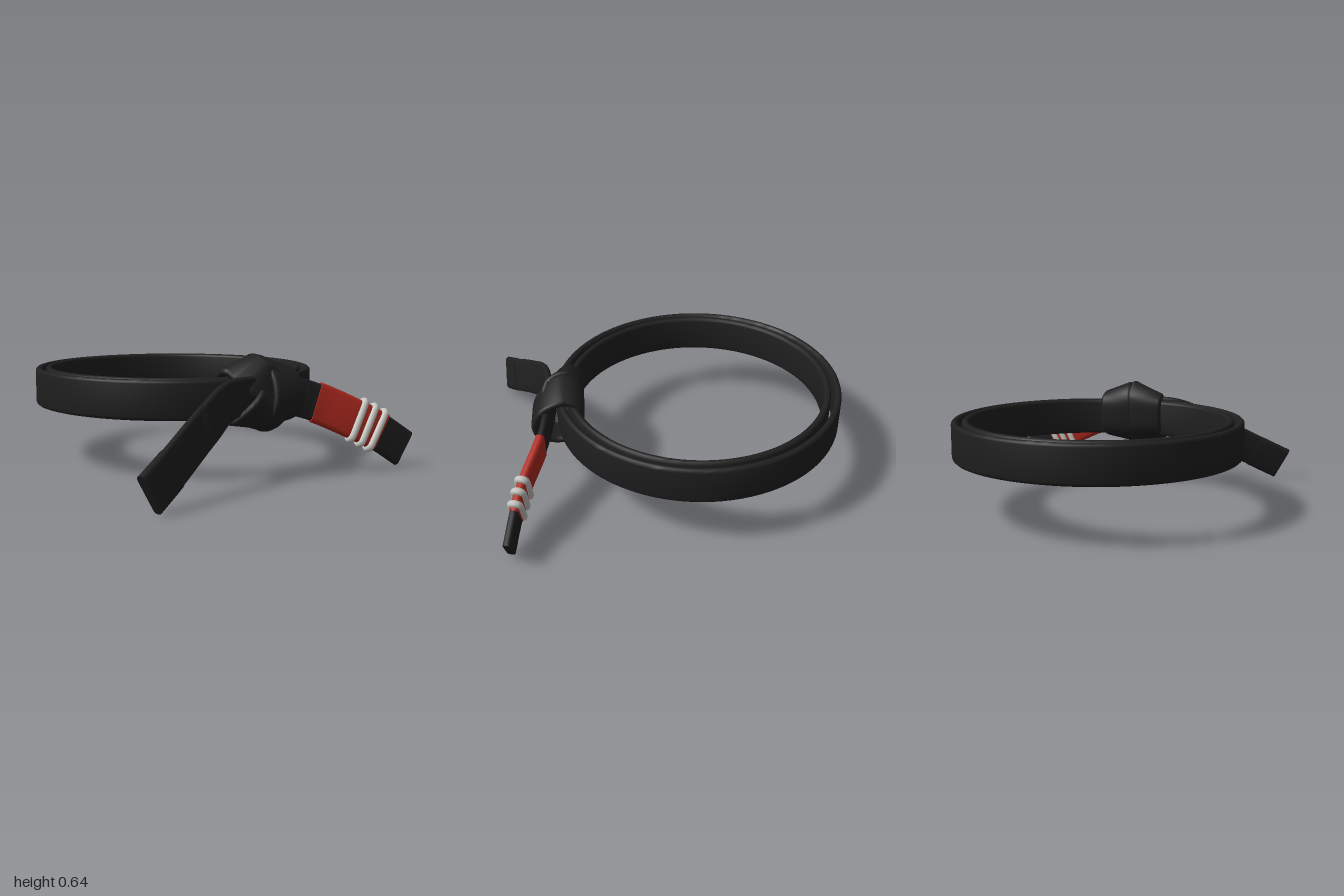
import * as THREE from 'three';
import { toCreasedNormals } from 'three/addons/utils/BufferGeometryUtils.js';

const v = (a) => new THREE.Vector3(...a);

const black = new THREE.MeshStandardMaterial({ name: 'black cotton', color: 0x1f1f1f });
const red = new THREE.MeshStandardMaterial({ name: 'red cotton', color: 0xb02a20 });
const white = new THREE.MeshStandardMaterial({ name: 'white tape', color: 0xc6c6c2 });

// A strap is a list of [centre, width direction] pairs turned into two curves
function strap(keys, closed = false) {
  return {
    closed,
    path: new THREE.CatmullRomCurve3(keys.map((k) => v(k[0])), closed),
    across: new THREE.CatmullRomCurve3(keys.map((k) => v(k[1])), closed),
  };
}

// Outline of the strap at u: a flat bar with rounded edges
function section(s, u, width, thick) {
  const p = s.path.getPoint(u), t = s.path.getTangent(u), w = s.across.getPoint(u);
  w.addScaledVector(t, -w.dot(t)).normalize();
  const n = new THREE.Vector3().crossVectors(t, w);
  const r = thick / 2, flat = width / 2 - r, ring = [];
  for (const side of [0, 1]) {
    for (let k = 0; k <= 6; k++) {
      const a = -Math.PI / 2 + (k / 6 + side) * Math.PI;
      const x = Math.cos(a) * r + (side ? -flat : flat);
      ring.push(p.clone().addScaledVector(w, x).addScaledVector(n, Math.sin(a) * r));
    }
  }
  return ring;
}

// Sweep the section along part of a strap
function ribbon(name, s, material, { width = 0.2, thick = 0.038, from = 0, to = 1, steps = 40 } = {}) {
  const pos = [], idx = [], m = 14;
  for (let i = 0; i <= steps; i++) {
    const u = from + ((to - from) * i) / steps;
    section(s, u, width, thick).forEach((p) => pos.push(p.x, p.y, p.z));
  }
  for (let i = 0; i < steps; i++) {
    for (let j = 0; j < m; j++) {
      const a = i * m + j, b = i * m + ((j + 1) % m);
      idx.push(a, b, a + m, b, b + m, a + m);
    }
  }
  if (!s.closed) {
    const e = steps * m;
    for (let j = 1; j < m - 1; j++) idx.push(0, j + 1, j, e, e + j, e + j + 1);
  }
  const g = new THREE.BufferGeometry();
  g.setAttribute('position', new THREE.Float32BufferAttribute(pos, 3));
  g.setIndex(idx);
  const mesh = new THREE.Mesh(toCreasedNormals(g, 0.8), material);
  mesh.name = name;
  return mesh;
}

// Waist loop, a circle around the wearer
function hoop(radius) {
  const keys = [];
  for (let i = 0; i < 24; i++) {
    const a = (i / 24) * Math.PI * 2;
    keys.push([[Math.sin(a) * radius, 0.416, -0.19 + Math.cos(a) * radius], [0, 1, 0]]);
  }
  return strap(keys, true);
}

export function createModel() {
  const belt = new THREE.Group();
  belt.name = 'tiedBelt';

  // Two turns around the waist
  belt.add(ribbon('outerWaistLoop', hoop(0.784), black, { width: 0.21, steps: 120 }));
  belt.add(ribbon('innerWaistLoop', hoop(0.726), black, { width: 0.216, steps: 120 }));

  // Knot: upright wrap on the model's left
  const wrap = strap([
    [[0.13, 0.583, 0.56], [1, -0.4, 0]],
    [[0.142, 0.52, 0.68], [1, -0.15, 0]],
    [[0.135, 0.42, 0.725], [1, 0, 0]],
    [[0.118, 0.33, 0.70], [1, 0.15, 0]],
    [[0.108, 0.285, 0.6], [1, 0.18, 0]],
    [[0.115, 0.33, 0.5], [1, 0.1, 0]],
    [[0.12, 0.44, 0.476], [1, 0, 0]],
    [[0.125, 0.54, 0.488], [1, -0.25, 0]],
  ], true);
  belt.add(ribbon('knotWrap', wrap, black, { width: 0.2, thick: 0.04, steps: 72 }));

  // Knot: folded wrap that opens around the emerging tail
  const fold = strap([
    [[-0.06, 0.583, 0.55], [1, 0.42, 0]],
    [[-0.02, 0.53, 0.65], [0.8, 0.6, 0]],
    [[0.07, 0.43, 0.69], [1, 0, 0]],
    [[-0.01, 0.34, 0.705], [0.8, -0.5, 0]],
    [[-0.07, 0.288, 0.62], [1, -0.18, 0]],
    [[-0.06, 0.34, 0.5], [1, -0.1, 0]],
    [[-0.06, 0.45, 0.478], [1, 0, 0]],
    [[-0.06, 0.54, 0.488], [1, 0.25, 0]],
  ], true);
  belt.add(ribbon('knotFold', fold, black, { width: 0.215, thick: 0.04, steps: 72 }));

  // Plain tail with a doubled tip
  const plain = strap([
    [[0.05, 0.43, 0.645], [0, 1, 0]],
    [[-0.2, 0.425, 0.675], [-0.12, 1, 0]],
    [[-0.4, 0.335, 0.765], [-0.42, 0.9, 0]],
    [[-0.68, 0.18, 0.895], [-0.5, 0.86, 0]],
    [[-0.85, 0.09, 0.97], [-0.5, 0.86, 0]],
  ]);
  belt.add(ribbon('rightTail', plain, black, { width: 0.205, to: 0.99 }));
  belt.add(ribbon('rightTailTip', plain, black, { width: 0.21, thick: 0.046, from: 0.76, steps: 12 }));

  // Ranked tail: black, red sleeve, black tip
  const ranked = strap([
    [[0.0, 0.43, 0.64], [0, 1, 0]],
    [[0.2, 0.415, 0.66], [0.2, 1, 0]],
    [[0.34, 0.375, 0.69], [0.42, 0.9, 0]],
    [[0.55, 0.275, 0.775], [0.46, 0.88, 0]],
    [[0.68, 0.205, 0.815], [0.48, 0.87, 0]],
    [[0.84, 0.098, 0.855], [0.5, 0.86, 0]],
  ]);
  belt.add(ribbon('leftTail', ranked, black, { width: 0.205, thick: 0.036 }));
  belt.add(ribbon('redSleeve', ranked, red, { width: 0.222, thick: 0.048, from: 0.4, to: 0.82, steps: 24 }));
  belt.add(ribbon('leftTailTip', ranked, black, { width: 0.21, thick: 0.044, from: 0.82, steps: 10 }));

  // Three tape bands wound around the sleeve
  for (const u of [0.615, 0.7, 0.785]) {
    const loop = new THREE.CatmullRomCurve3(section(ranked, u, 0.226, 0.046), true);
    const band = new THREE.Mesh(new THREE.TubeGeometry(loop, 80, 0.02, 8, true), white);
    band.name = 'tapeBand';
    belt.add(band);
  }
  return belt;
}
